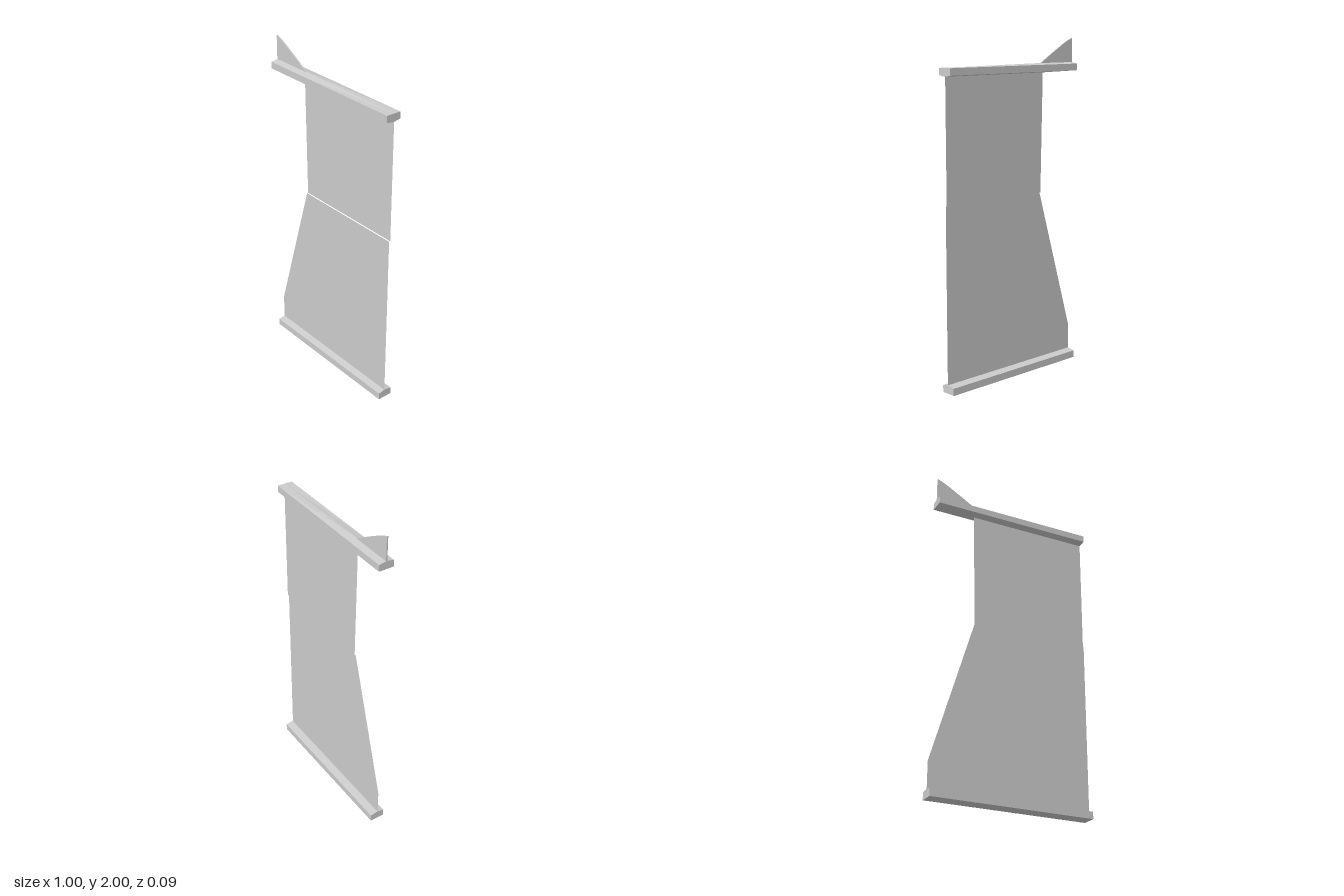
import * as THREE from 'three';

const material = new THREE.MeshStandardMaterial({ color: 0xcccccc, flatShading: true, side: THREE.DoubleSide });
const HALF_DEPTH = 0.046;

function addMesh(group, name, geometry, z = 0) {
  const mesh = new THREE.Mesh(geometry, material);
  mesh.name = name;
  mesh.position.z = z;
  group.add(mesh);
}

const outline = (points) => new THREE.Shape(points.map(([x, y]) => new THREE.Vector2(x, y)));

// Six-sided beam along x; each station is [x, bottomRidge, bottomEdge, topEdge, topRidge]
function railGeometry(stations) {
  const positions = [];
  const index = [];
  for (const [x, bottomRidge, bottomEdge, topEdge, topRidge] of stations) {
    positions.push(
      x, bottomRidge, 0,
      x, bottomEdge, -HALF_DEPTH,
      x, topEdge, -HALF_DEPTH,
      x, topRidge, 0,
      x, topEdge, HALF_DEPTH,
      x, bottomEdge, HALF_DEPTH
    );
  }
  for (let s = 0; s < stations.length - 1; s++) {
    for (let i = 0; i < 6; i++) {
      const a = s * 6 + i;
      const b = s * 6 + ((i + 1) % 6);
      index.push(a, b, a + 6, b, b + 6, a + 6);
    }
  }
  const last = (stations.length - 1) * 6;
  for (let i = 1; i < 5; i++) {
    index.push(0, i + 1, i, last, last + i, last + i + 1);
  }
  const geometry = new THREE.BufferGeometry();
  geometry.setAttribute('position', new THREE.Float32BufferAttribute(positions, 3));
  geometry.setIndex(index);
  const flat = geometry.toNonIndexed();
  flat.computeVertexNormals();
  return flat;
}

export function createModel() {
  const group = new THREE.Group();
  group.name = 'wallPanel';

  // Bottom rail: flat base, shallow ridge on top
  addMesh(group, 'bottomRail', railGeometry([
    [-0.5, 0, 0, 0.043, 0.052],
    [0.5, 0, 0, 0.043, 0.052]
  ]));

  // Top rail: the ridges fade out towards the ends
  addMesh(group, 'topRail', railGeometry([
    [-0.5, 1.808, 1.808, 1.848, 1.857],
    [-0.24, 1.801, 1.808, 1.848, 1.857],
    [0.5, 1.801, 1.808, 1.848, 1.849]
  ]));

  // Thin sheets, slightly offset in depth from each other
  addMesh(group, 'lowerPanel', new THREE.ShapeGeometry(outline([
    [-0.5, 0.03], [0.5, 0.03], [0.5, 1.085], [-0.235, 1.085], [-0.5, 0.205]
  ])), 0.004);
  addMesh(group, 'upperPanel', new THREE.ShapeGeometry(outline([
    [-0.235, 1.085], [0.5, 1.085], [0.5, 1.82], [-0.25, 1.82]
  ])), -0.004);

  // Wedge fin standing on the top rail
  const fin = new THREE.ExtrudeGeometry(outline([
    [-0.5, 1.84], [-0.24, 1.84], [-0.24, 1.86], [-0.33, 1.913], [-0.42, 1.964], [-0.46, 1.984], [-0.5, 2]
  ]), { depth: 0.008, bevelEnabled: false });
  addMesh(group, 'topFin', fin, -0.004);

  return group;
}
